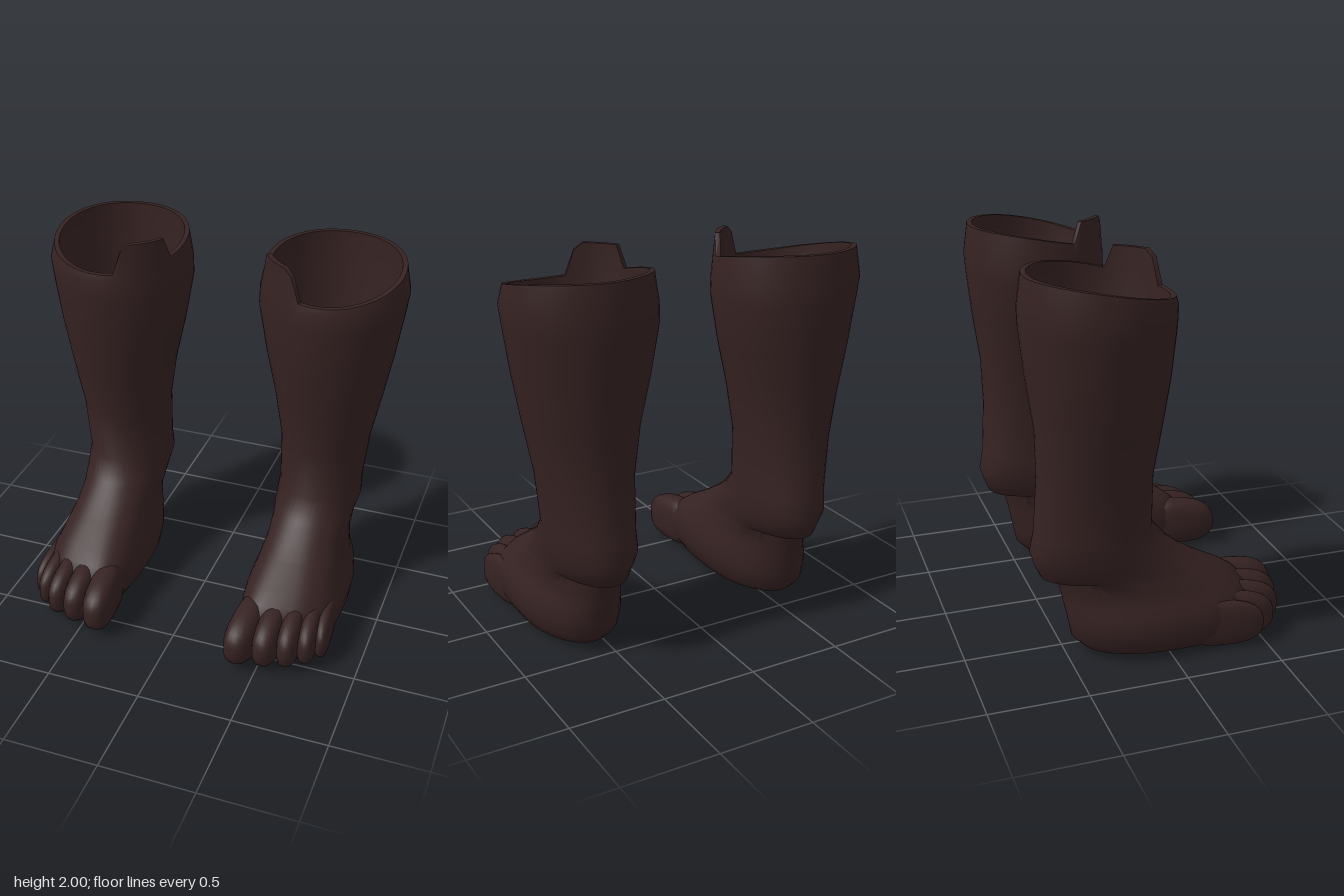
import * as THREE from 'three';
import { toCreasedNormals } from 'three/addons/utils/BufferGeometryUtils.js';

const N = 48; // points around each section
const leather = new THREE.MeshStandardMaterial({ color: 0x362222 });
leather.name = 'dark brown leather';

// Sections: y, inner x, outer x, back z, front z
const FOOT = [
  [0.012, 0.40, 0.74, -0.30, 0.42],
  [0.035, 0.36, 0.79, -0.41, 0.46],
  [0.09, 0.325, 0.825, -0.465, 0.49],
  [0.17, 0.31, 0.835, -0.48, 0.50],
  [0.24, 0.315, 0.825, -0.495, 0.48],
  [0.29, 0.325, 0.80, -0.505, 0.43],
  [0.34, 0.34, 0.785, -0.515, 0.365],
  [0.425, 0.355, 0.765, -0.54, 0.225],
];
const SHAFT = [
  [0.435, 0.355, 0.765, -0.615, 0.21],
  [0.50, 0.35, 0.768, -0.645, 0.115],
  [0.57, 0.337, 0.785, -0.665, 0.035],
  [0.67, 0.345, 0.785, -0.645, -0.05],
  [0.95, 0.34, 0.815, -0.626, -0.05],
  [1.20, 0.30, 0.865, -0.63, -0.01],
  [1.45, 0.245, 0.91, -0.665, 0.03],
  [1.70, 0.20, 0.947, -0.69, 0.055],
  [1.80, 0.203, 0.96, -0.695, 0.055],
];
const LINING = [
  [1.76, 0.25, 0.91, -0.645, 0.01],
  [1.20, 0.345, 0.82, -0.585, -0.055],
  [0.80, 0.395, 0.745, -0.575, -0.095],
  [0.25, 0.42, 0.73, -0.46, -0.08],
];

// Rim dips toward the front and steps up into a tab on the inner front
function rimHeight(a) {
  const deg = 360 - THREE.MathUtils.radToDeg(a);
  if (deg > 18 && deg < 64) return deg < 26 ? 1.965 : 2;
  return 1.96 - 0.125 * Math.pow((1 + Math.cos(a)) / 2, 1.6);
}

// How far a section at height y is foot-shaped (1) rather than round (0)
const footness = (y) => 1 - THREE.MathUtils.smoothstep(y, 0.25, 0.62);
const power = (v, e) => Math.sign(v) * Math.pow(Math.abs(v), e);

// Round at the back; foot sections get a squarer front, slanted along the toe line
function section(x0, x1, zb, zf, height, foot) {
  const cx = (x0 + x1) / 2, cz = -0.32 * (1 - foot);
  return Array.from({ length: N }, (_, i) => {
    const a = i / N * Math.PI * 2, c = Math.cos(a);
    const e = c > 0 ? 2 / (2 + 1.1 * foot) : 1;
    const x = (x1 - x0) / 2 * power(Math.sin(a), e);
    const z = cz + (c > 0 ? zf - cz : cz - zb) * power(c, e);
    return [cx + x, height(a), z - 0.25 * foot * foot * x * Math.max(0, c)];
  });
}

const point = (x, y, z) => Array.from({ length: N }, () => [x, y, z]);

function loft(rings) {
  const index = [];
  for (let r = 0; r < rings.length - 1; r++) {
    for (let i = 0; i < N; i++) {
      const a = r * N + i, b = r * N + (i + 1) % N;
      index.push(a, b, b + N, a, b + N, a + N);
    }
  }
  const g = new THREE.BufferGeometry();
  g.setAttribute('position', new THREE.Float32BufferAttribute(rings.flat(2), 3));
  g.setIndex(index);
  return g;
}

// Rounded, squarish toe sloping down to its tip
function toeGeometry(x, width, tip, top) {
  const g = new THREE.SphereGeometry(1, 20, 16);
  const p = g.attributes.position, h = (top - 0.015) / 2, len = 0.2;
  for (let i = 0; i < p.count; i++) {
    const u = power(p.getX(i), 0.75), v = power(p.getY(i), 0.75), w = power(p.getZ(i), 0.7);
    const back = (1 - w) / 2;
    p.setXYZ(i,
      x + u * width / 2 - (x - 0.58) * 0.15 * back,
      0.015 + h + v * h + (v + 1) * 0.03 * (back - 0.3),
      tip - len + w * len);
  }
  return g;
}

// Mirrors to the requested side and smooths, keeping sharp edges
function part(name, geometry, side) {
  if (side < 0) {
    geometry.scale(-1, 1, 1);
    geometry.setIndex(Array.from(geometry.index.array).reverse());
  }
  const mesh = new THREE.Mesh(toCreasedNormals(geometry, 1.0), leather);
  mesh.name = name;
  return mesh;
}

// Centre x, width, tip z, top y, from big toe to little toe
const TOES = [
  [0.395, 0.165, 0.69, 0.275],
  [0.533, 0.14, 0.66, 0.272],
  [0.648, 0.12, 0.625, 0.268],
  [0.737, 0.105, 0.565, 0.26],
  [0.800, 0.085, 0.485, 0.25],
];

function boot(side) {
  const group = new THREE.Group();
  group.name = side > 0 ? 'leftBoot' : 'rightBoot';

  const outer = ([y, ...box]) => section(...box, () => y, footness(y));
  const inner = ([y, ...box]) => section(...box, () => y, 0);
  const rimOut = section(0.225, 0.935, -0.672, 0.045, rimHeight, 0);
  const rimIn = section(0.25, 0.91, -0.645, 0.018, rimHeight, 0);

  const shell = [point(0.57, 0, 0.05), ...FOOT.map(outer), ...SHAFT.map(outer), rimOut, rimIn];
  group.add(part('shell', loft(shell), side));

  const lining = [rimIn, ...LINING.map(inner), point(0.575, 0.24, -0.27)];
  group.add(part('lining', loft(lining), side));

  TOES.forEach((t, i) => group.add(part('toe' + (i + 1), toeGeometry(...t), side)));
  return group;
}

export function createModel() {
  const model = new THREE.Group();
  model.name = 'pairOfBoots';
  model.add(boot(1), boot(-1));
  return model;
}
